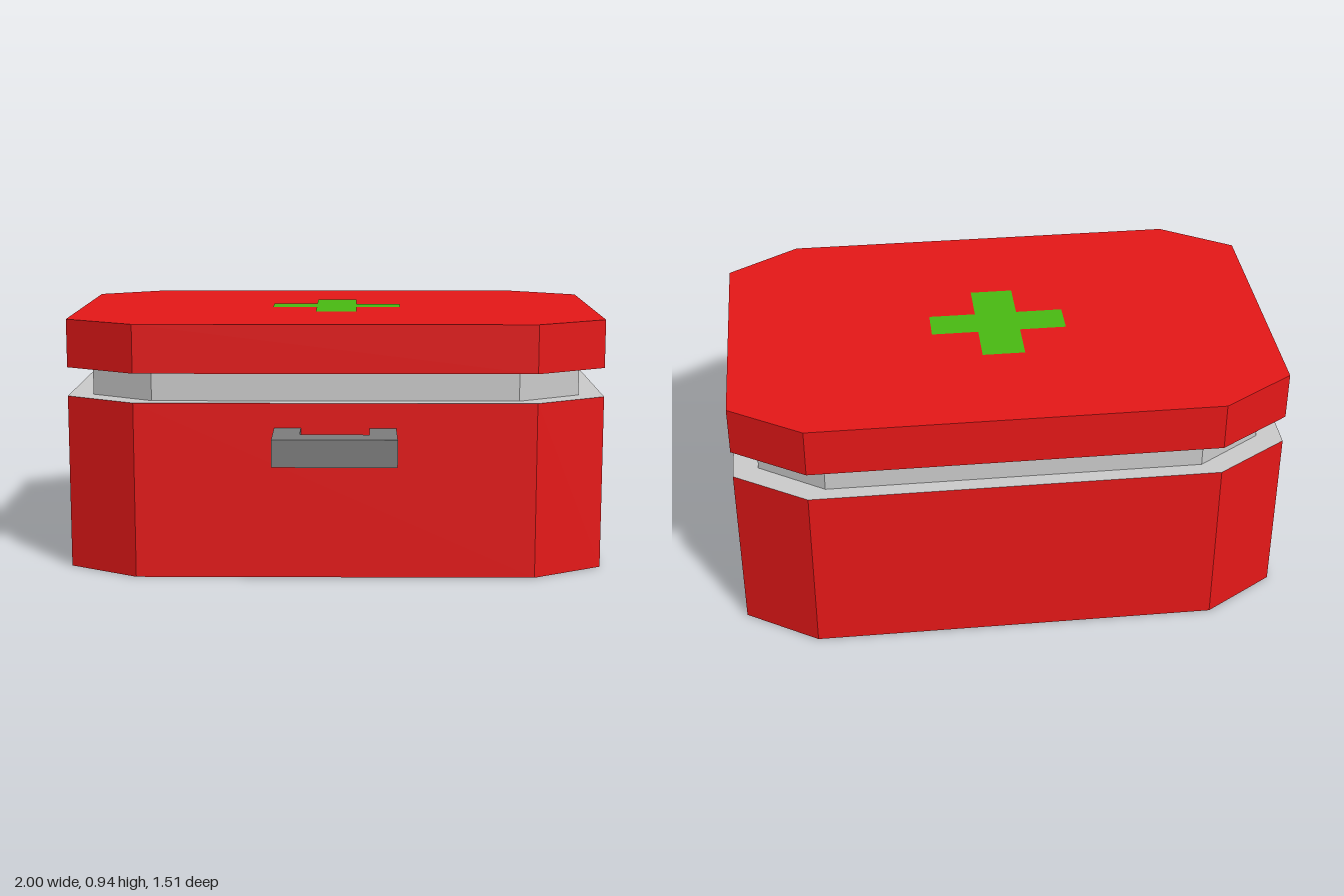
import * as THREE from 'three';

const CENTER_Z = -0.1175;
const paint = (color) => new THREE.MeshStandardMaterial({ color, flatShading: true });
const red = paint(0xe61818);
const grey = paint(0xcccccc);
const darkGrey = paint(0x7d7d7d);
const green = paint(0x49bb12);

const shapeOf = (points) => new THREE.Shape(points.map(([x, y]) => new THREE.Vector2(x, y)));

// Rectangle with chamfered corners: half sizes hx, hz; straight runs end at cx, cz
const octagon = (hx, hz, cx, cz) => shapeOf([
  [cx, -hz], [hx, -cz], [hx, cz], [cx, hz], [-cx, hz], [-hx, cz], [-hx, -cz], [-cx, -hz],
]);

// Upright prism of an eight-sided outline with its own bottom, top and side materials
function prism(name, outline, y0, y1, bottom, top, sides) {
  const geometry = new THREE.ExtrudeGeometry(outline, { depth: y1 - y0, bevelEnabled: false });
  geometry.rotateX(-Math.PI / 2);
  const cap = 18; // six triangles per octagonal cap
  geometry.clearGroups();
  geometry.addGroup(0, cap, 0);
  geometry.addGroup(cap, cap, 1);
  geometry.addGroup(cap * 2, geometry.attributes.position.count - cap * 2, 2);
  const mesh = new THREE.Mesh(geometry, [bottom, top, sides]);
  mesh.name = name;
  mesh.position.set(0, y0, CENTER_Z);
  return mesh;
}

export function createModel() {
  const model = new THREE.Group();
  model.name = 'medicalCase';

  // Case body, recessed neck and lid; the faces meeting the neck are grey
  const outer = octagon(1, 0.6375, 0.737, 0.4725);
  const inner = octagon(0.91, 0.5825, 0.675, 0.43);
  model.add(prism('body', outer, 0, 0.652, red, grey, red));
  model.add(prism('neck', inner, 0.652, 0.76, grey, grey, grey));
  model.add(prism('lid', outer, 0.76, 0.94, grey, red, red));

  // Flat cross on the lid
  const ax = 0.25, az = 0.22, tx = 0.078, tz = 0.062;
  const cross = new THREE.Mesh(new THREE.ShapeGeometry(shapeOf([
    [-tx, -az], [tx, -az], [tx, -tz], [ax, -tz], [ax, tz], [tx, tz],
    [tx, az], [-tx, az], [-tx, tz], [-ax, tz], [-ax, -tz], [-tx, -tz],
  ])), green);
  cross.name = 'cross';
  cross.rotation.x = -Math.PI / 2;
  cross.position.set(0, 0.942, -0.12);
  model.add(cross);

  // U-shaped carrying handle on the front
  const handleGeometry = new THREE.ExtrudeGeometry(shapeOf([
    [-0.223, 0.52], [-0.125, 0.52], [-0.125, 0.652], [0.125, 0.652],
    [0.125, 0.52], [0.223, 0.52], [0.223, 0.755], [-0.223, 0.755],
  ]), { depth: 0.1, bevelEnabled: false });
  handleGeometry.rotateX(Math.PI / 2);
  const handle = new THREE.Mesh(handleGeometry, darkGrey);
  handle.name = 'handle';
  handle.position.y = 0.56;
  model.add(handle);

  return model;
}
